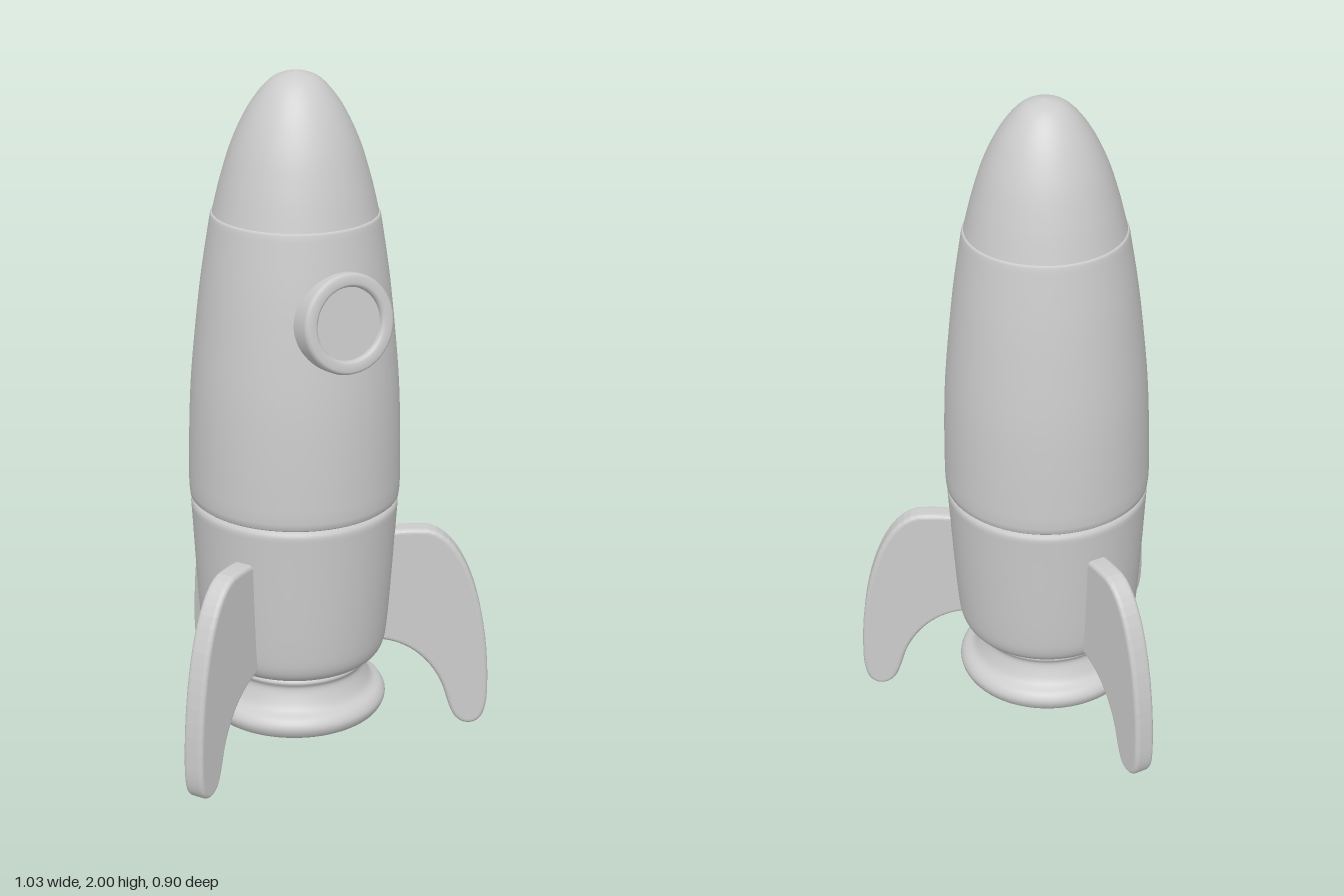
import * as THREE from 'three';

const material = new THREE.MeshStandardMaterial({ color: 0xcccccc });
const AXIS = [-0.005, 0, 0.125]; // the hull axis sits forward of the centre

const vec = (pts) => pts.map(([x, y]) => new THREE.Vector2(x, y));

// Smooth profile through a few [radius, height] points, listed bottom to top
function smooth(pts, n = 32) {
  return new THREE.SplineCurve(vec(pts)).getPoints(n)
    .map((p) => new THREE.Vector2(Math.max(p.x, 0), p.y));
}

function lathe(name, profile, segments = 64) {
  const mesh = new THREE.Mesh(new THREE.LatheGeometry(profile, segments), material);
  mesh.name = name;
  return mesh;
}

// Swept-back fin blade in the XY plane, x being the distance from the hull axis
function finGeometry() {
  const s = new THREE.Shape();
  s.moveTo(0.23, 0.295);
  s.lineTo(0.23, 0.6);
  s.bezierCurveTo(0.26, 0.625, 0.32, 0.63, 0.39, 0.627);
  s.bezierCurveTo(0.5, 0.605, 0.567, 0.36, 0.567, 0.12);
  s.bezierCurveTo(0.567, 0.05, 0.555, 0.018, 0.525, 0.018);
  s.bezierCurveTo(0.487, 0.018, 0.478, 0.07, 0.462, 0.12);
  s.bezierCurveTo(0.435, 0.2, 0.37, 0.28, 0.27, 0.295);
  s.closePath();
  const bevel = 0.013;
  const depth = 0.062 - 2 * bevel;
  const geo = new THREE.ExtrudeGeometry(s, {
    depth, curveSegments: 16, bevelEnabled: true,
    bevelSize: bevel, bevelThickness: bevel, bevelSegments: 4,
  });
  return geo.translate(0, 0, -depth / 2);
}

export function createModel() {
  const model = new THREE.Group();
  model.name = 'rocket';
  const hull = new THREE.Group();
  hull.name = 'hull';
  hull.position.set(...AXIS);
  model.add(hull);

  // Nose cone
  hull.add(lathe('noseCone', smooth([
    [0.234, 1.6], [0.21, 1.7], [0.175, 1.81], [0.125, 1.91], [0.065, 1.979], [0, 2],
  ])));

  // Main body, with a rolled lower rim and a slight lip under the nose
  hull.add(lathe('mainBody', [
    ...vec([[0.27, 0.752], [0.296, 0.752], [0.303, 0.758], [0.305, 0.775]]),
    ...smooth([[0.306, 0.8], [0.304, 0.95], [0.298, 1.1], [0.285, 1.25], [0.266, 1.42], [0.239, 1.595]]),
    ...vec([[0.236, 1.602], [0.22, 1.604]]),
  ]));

  // Tail section, tucked in at both ends
  hull.add(lathe('tailSection', [
    ...smooth([[0.2, 0.235], [0.225, 0.25], [0.25, 0.263], [0.268, 0.295], [0.277, 0.36], [0.287, 0.5], [0.296, 0.65], [0.301, 0.73]]),
    ...vec([[0.299, 0.742], [0.29, 0.75], [0.26, 0.75]]),
  ]));

  // Flared exhaust nozzle with a closed base
  hull.add(lathe('nozzle', [
    ...vec([[0, 0.068], [0.225, 0.068]]),
    ...smooth([[0.235, 0.07], [0.262, 0.084], [0.274, 0.112], [0.262, 0.137], [0.234, 0.155], [0.217, 0.185], [0.208, 0.215], [0.216, 0.235], [0.2, 0.255]]),
  ]));

  // Porthole, tilted to follow the hull
  const porthole = new THREE.Group();
  porthole.name = 'porthole';
  porthole.position.set(-0.007, 1.355, 0.43);
  porthole.rotation.x = Math.PI / 2 - 0.14;
  porthole.add(lathe('portholeRim', vec([
    [0.141, -0.075], [0.142, -0.015], [0.139, -0.005], [0.132, 0],
    [0.112, 0], [0.105, -0.004], [0.102, -0.012], [0.102, -0.04],
  ])));
  const glass = new THREE.Mesh(new THREE.CircleGeometry(0.104, 48).rotateX(-Math.PI / 2), material);
  glass.name = 'portholeGlass';
  glass.position.y = -0.018;
  porthole.add(glass);
  model.add(porthole);

  // Three fins at 120 degrees, one pointing straight back
  const blade = finGeometry();
  ['backFin', 'rightFin', 'leftFin'].forEach((name, i) => {
    const fin = new THREE.Mesh(blade, material);
    fin.name = name;
    fin.rotation.y = Math.PI / 2 + (i * 2 * Math.PI) / 3;
    hull.add(fin);
  });

  return model;
}
